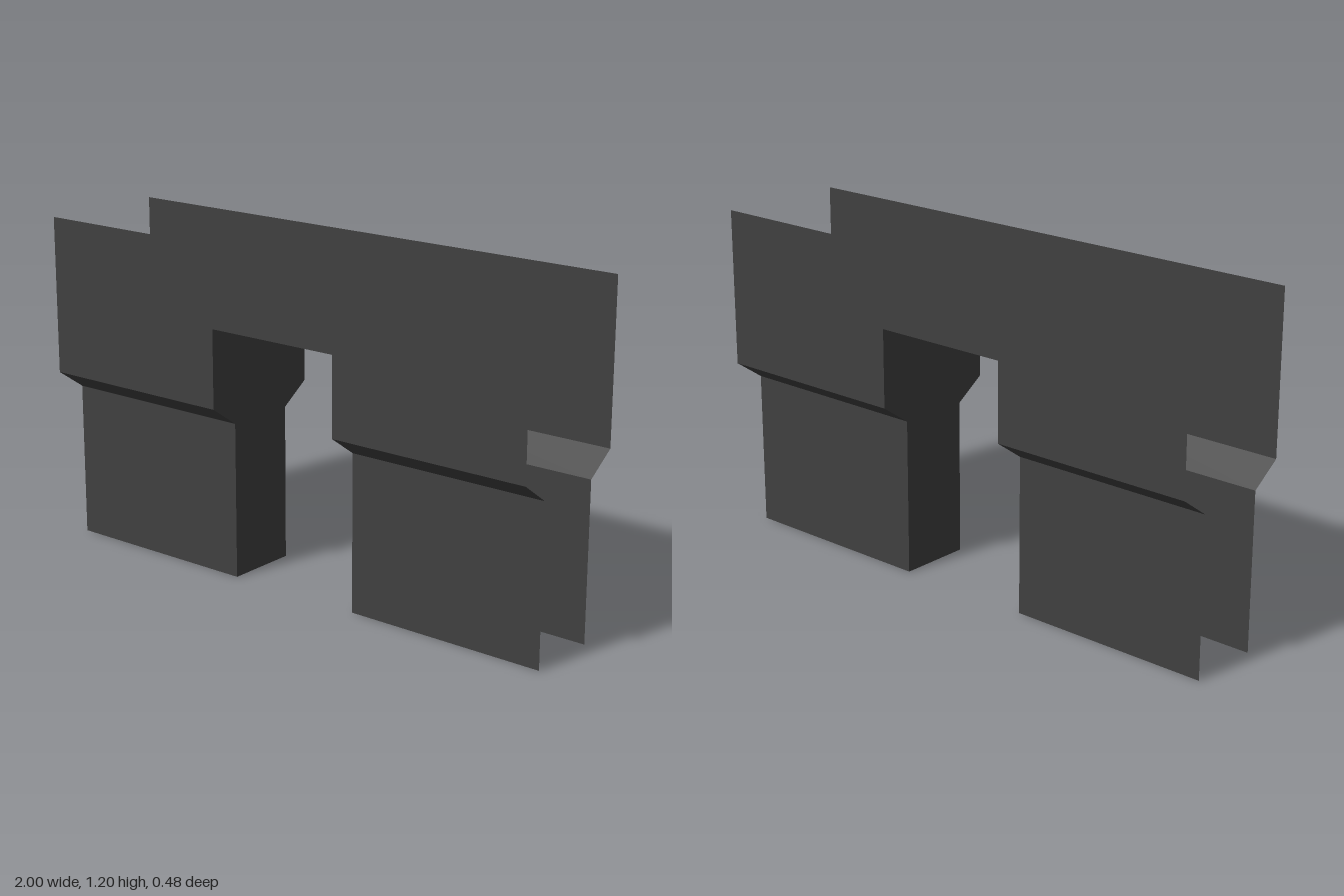
import * as THREE from 'three';

const HALF = 1, OPEN = 0.256;          // half length, half width of the opening
const TOP = 1.2, LINTEL = 0.915;       // wall top, underside of the opening
const OUT = 0.24, IN = 0.132;          // wide and narrow half depth
const STEP_TOP = 0.635, STEP_BOTTOM = 0.56;

// Thin sheet: a [y, z] profile, listed top to bottom, swept from x0 to x1
function sheet(profile, x0, x1) {
  const p = [];
  for (let i = 0; i < profile.length - 1; i++) {
    const [ya, za] = profile[i], [yb, zb] = profile[i + 1];
    p.push(x0, yb, zb, x1, yb, zb, x1, ya, za);
    p.push(x0, yb, zb, x1, ya, za, x0, ya, za);
  }
  const g = new THREE.BufferGeometry();
  g.setAttribute('position', new THREE.Float32BufferAttribute(p, 3));
  g.computeVertexNormals();
  return g;
}

export function createModel() {
  const model = new THREE.Group();
  model.name = 'gateway';
  const darkGrey = new THREE.MeshStandardMaterial({ color: 0x404040, side: THREE.DoubleSide });
  darkGrey.name = 'darkGrey';

  const add = (parent, name, geometry) => {
    const mesh = new THREE.Mesh(geometry, darkGrey);
    mesh.name = name;
    parent.add(mesh);
    return mesh;
  };

  // Stepped wall beside the opening, and the shape of the passage sides
  const legProfile = [[LINTEL, OUT], [STEP_TOP, OUT], [STEP_BOTTOM, IN], [0, IN]];
  const outline = [
    ...legProfile.map(([y, z]) => new THREE.Vector2(z, y)),
    ...legProfile.map(([y, z]) => new THREE.Vector2(-z, y)).reverse(),
  ];
  const jamb = new THREE.ShapeGeometry(new THREE.Shape(outline)).rotateY(-Math.PI / 2);
  jamb.translate(OPEN, 0, 0);

  // Each half turn gives one face wall and one side of the passage
  [['front', 'left'], ['back', 'right']].forEach(([face, side], i) => {
    const wall = new THREE.Group();
    wall.name = face + 'Wall';
    wall.rotation.y = i * Math.PI;
    add(wall, face + 'UpperBand', sheet([[TOP, OUT], [LINTEL, OUT]], -HALF, HALF));
    add(wall, face + 'LegA', sheet(legProfile, -HALF, -OPEN));
    add(wall, face + 'LegB', sheet(legProfile, OPEN, HALF));
    model.add(wall);
    add(model, side + 'PassageSide', jamb).rotation.y = i * Math.PI;
  });

  // Ceiling of the passage
  const ceiling = new THREE.PlaneGeometry(2 * OPEN, 2 * OUT).rotateX(Math.PI / 2);
  add(model, 'passageCeiling', ceiling.translate(0, LINTEL, 0));

  return model;
}
